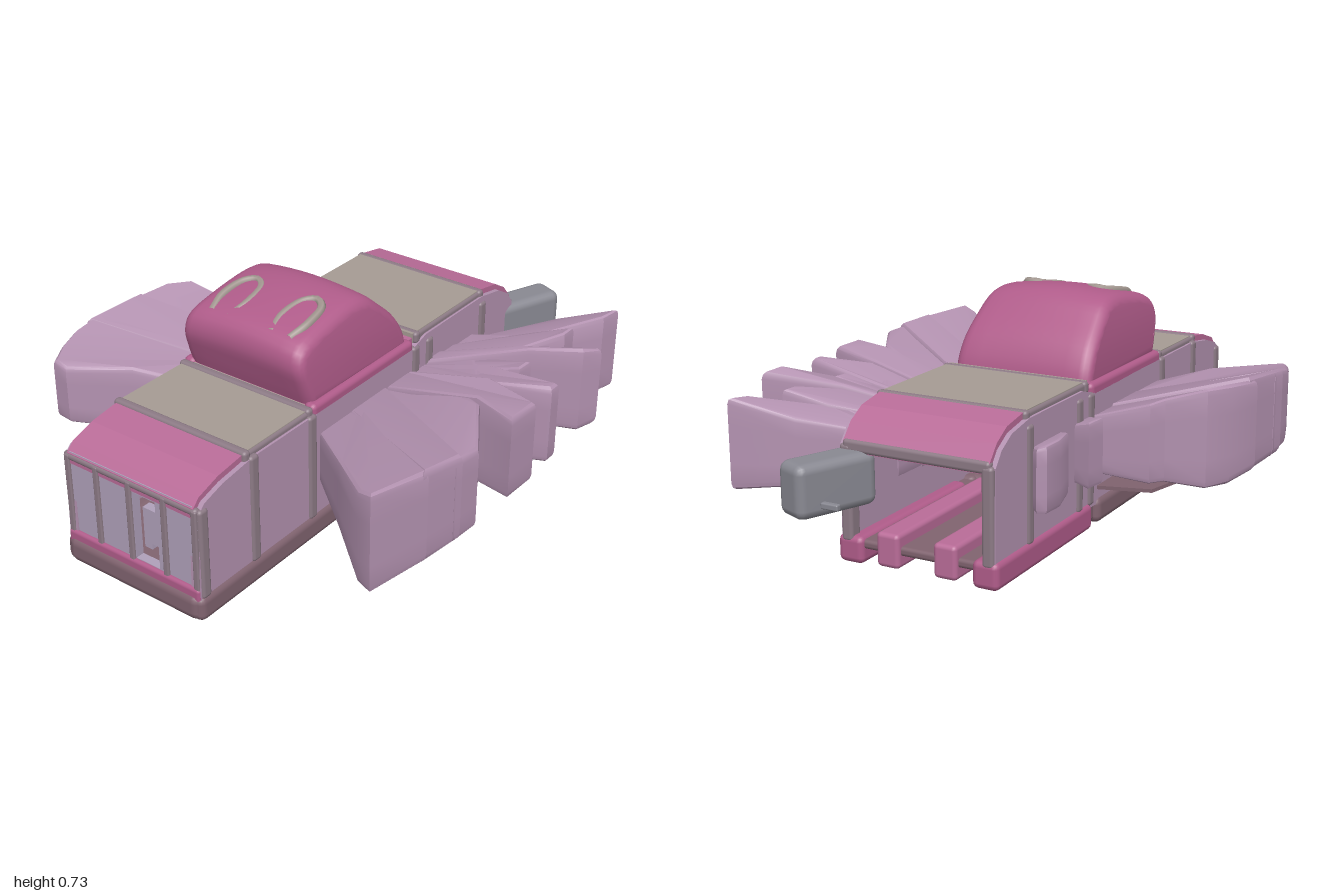
import * as THREE from 'three';
import { RoundedBoxGeometry } from 'three/addons/geometries/RoundedBoxGeometry.js';
import { toCreasedNormals } from 'three/addons/utils/BufferGeometryUtils.js';

const mat = (color) => new THREE.MeshStandardMaterial({ color, side: THREE.DoubleSide });
const M = {
  pink: mat(0xb96c98), rose: mat(0xb05c8a), lilac: mat(0xb392b0), pale: mat(0xb0a0ba),
  taupe: mat(0xa69b94), trim: mat(0x8c7a85), grey: mat(0x898992), dark: mat(0x80636f),
};
const CX = -0.03; // hull centre line

const vectors = (pts) => pts.map(([a, b]) => new THREE.Vector2(a, b));
const shapeOf = (pts) => new THREE.Shape(vectors(pts));

export function createModel() {
  const model = new THREE.Group();

  function add(name, geo, material, x = 0, y = 0, z = 0) {
    const mesh = new THREE.Mesh(geo, material);
    mesh.name = name;
    mesh.position.set(x, y, z);
    model.add(mesh);
    return mesh;
  }
  // Box given by its limits on each axis
  function box(name, x0, x1, y0, y1, z0, z1, material, r = 0.012) {
    return add(name, new RoundedBoxGeometry(x1 - x0, y1 - y0, z1 - z0, 2, r), material,
      (x0 + x1) / 2, (y0 + y1) / 2, (z0 + z1) / 2);
  }
  // Side profile in (z, y), extruded from x0 to x1
  function side(name, pts, x0, x1, material) {
    const g = new THREE.ExtrudeGeometry(shapeOf(pts), { depth: x1 - x0, bevelEnabled: false });
    g.rotateY(-Math.PI / 2);
    return add(name, g, material, x1);
  }

  // Hull: side walls and roof slabs, open at the rear
  const wall = [[0.955, 0.08], [0.945, 0.39], [0.92, 0.415], [0.84, 0.44], [0.7, 0.46], [-0.12, 0.46], [-0.2, 0.485],
    [-0.55, 0.485], [-0.66, 0.465], [-0.72, 0.43], [-0.755, 0.385], [-0.76, 0.08]];
  side('rightWall', wall, -0.298, -0.262, M.lilac);
  side('leftWall', wall, 0.202, 0.238, M.lilac);
  const roof = (name, pts, material) => side(name,
    [...pts, ...pts.map(([z, y]) => [z, y - 0.035]).reverse()], -0.282, 0.222, material);
  roof('noseSlope', [[0.952, 0.405], [0.925, 0.432], [0.84, 0.46], [0.72, 0.477]], M.pink);
  roof('frontDeck', [[0.72, 0.48], [0.4, 0.48]], M.taupe);
  roof('middleDeck', [[0.4, 0.48], [-0.14, 0.49]], M.pink);
  roof('rearDeck', [[-0.14, 0.505], [-0.56, 0.505]], M.taupe);
  roof('tailSlope', [[-0.56, 0.503], [-0.66, 0.485], [-0.72, 0.45], [-0.762, 0.4]], M.pink);
  for (const [z, y] of [[0.72, 0.473], [0.42, 0.475], [-0.16, 0.495], [-0.55, 0.495]])
    box('deckSeam', -0.295, 0.235, y - 0.03, y + 0.012, z - 0.015, z + 0.015, M.trim);
  for (const x of [-0.29, 0.2]) {
    box('deckEdge', x, x + 0.03, 0.445, 0.478, 0.41, 0.72, M.trim);
    box('cabSill', x - 0.008, x + 0.038, 0.43, 0.492, -0.13, 0.41, M.rose, 0.018);
    box('deckEdge', x, x + 0.03, 0.465, 0.503, -0.56, -0.15, M.trim);
  }

  // Front wall with a stepped see-through slot
  const front = shapeOf([[-0.295, 0.06], [0.235, 0.06], [0.235, 0.39], [0.215, 0.41], [-0.275, 0.41], [-0.295, 0.39]]);
  front.holes.push(new THREE.Path(vectors([[-0.02, 0.13], [0.075, 0.13], [0.075, 0.21], [0.05, 0.21], [0.05, 0.19],
    [0.02, 0.19], [0.02, 0.33], [0.07, 0.33], [0.07, 0.365], [-0.02, 0.365]])));
  add('frontWall', new THREE.ExtrudeGeometry(front, { depth: 0.03, bevelEnabled: false }), M.pale, 0, 0, 0.92);
  for (const x of [-0.283, -0.165, -0.033, 0.105, 0.224])
    box('frontRib', x - 0.011, x + 0.011, 0.06, 0.4, 0.935, 0.958, M.trim, 0.006);
  box('frontTopTrim', -0.295, 0.235, 0.38, 0.405, 0.93, 0.957, M.trim);
  box('frontLowerBand', -0.298, 0.238, 0.07, 0.128, 0.92, 0.962, M.rose);
  box('frontBumper', -0.3, 0.24, 0.012, 0.105, 0.9, 0.972, M.dark, 0.03);

  // Rear frame around the opening
  box('rearHeader', -0.285, 0.225, 0.365, 0.405, -0.768, -0.735, M.trim);
  for (const x of [-0.295, 0.195])
    box('rearPillar', x, x + 0.04, 0.08, 0.39, -0.77, -0.72, M.trim);

  // Vertical posts along both sides
  for (const [x0, x1] of [[-0.306, -0.27], [0.21, 0.246]])
    for (const z of [0.93, 0.7, 0.42, -0.14, -0.22, -0.55])
      box('sidePost', x0, x1, 0.09, z > 0.9 ? 0.4 : 0.465, z - 0.02, z + 0.02, M.trim);

  // Underside: channelled floors, sills, centre plate and the rails seen in the open rear
  box('centreFloor', -0.29, 0.23, 0.025, 0.09, -0.15, 0.4, M.dark);
  box('frontFloor', -0.29, 0.23, 0.045, 0.09, 0.38, 0.94, M.dark);
  box('rearFloor', -0.28, 0.22, 0.06, 0.09, -0.755, -0.1, M.dark);
  for (const [x0, x1] of [[-0.31, -0.22], [0.16, 0.25]]) {
    box('frontSill', x0, x1, 0.012, 0.1, -0.1, 0.965, M.dark, 0.025);
    box('rearSill', x0, x1, 0.012, 0.1, -0.77, -0.14, M.rose, 0.02);
  }
  box('frontKeel', -0.13, 0.07, 0.015, 0.06, 0.35, 0.94, M.trim, 0.015);
  for (const x of [-0.13, 0.07])
    box('floorRail', x - 0.04, x + 0.04, 0.02, 0.13, -0.77, -0.15, M.pink, 0.015);
  box('centrePlate', -0.31, 0.31, 0.035, 0.1, -0.08, 0.3, M.dark, 0.025);

  // Cab: rounded profile narrowing toward the top, crowned along the middle
  const cabCurve = new THREE.SplineCurve(vectors([[-0.125, 0.47], [-0.11, 0.53], [-0.07, 0.6], [0, 0.67],
    [0.07, 0.725], [0.16, 0.738], [0.3, 0.718], [0.41, 0.685], [0.44, 0.62], [0.42, 0.54], [0.395, 0.47]]));
  const cabGeo = new THREE.ExtrudeGeometry(new THREE.Shape(cabCurve.getPoints(36)),
    { depth: 0.42, steps: 8, bevelEnabled: true, bevelSize: 0.03, bevelOffset: -0.03, bevelThickness: 0.04, bevelSegments: 4 });
  cabGeo.rotateY(-Math.PI / 2).translate(0.21, 0, 0);
  const cp = cabGeo.attributes.position;
  for (let i = 0; i < cp.count; i++) {
    const t = Math.max(0, (cp.getY(i) - 0.47) / 0.27);
    const across = cp.getX(i) / 0.25;
    cp.setX(i, cp.getX(i) * (1 - 0.11 * t * t));
    cp.setY(i, cp.getY(i) + t * (0.006 - 0.022 * across * across));
  }
  add('cab', toCreasedNormals(cabGeo, 0.7), M.rose, CX);

  // Horseshoe ridges on the cab roof
  for (const x of [-0.145, 0.095]) {
    const pts = [[-0.035, 0.39, 0.684], [-0.05, 0.32, 0.708], [-0.035, 0.23, 0.725], [0, 0.205, 0.73],
      [0.035, 0.23, 0.725], [0.05, 0.32, 0.708], [0.035, 0.39, 0.684]];
    const path = new THREE.CatmullRomCurve3(pts.map(([a, z, y]) => new THREE.Vector3(x + a, y, z)));
    add('roofHorseshoe', new THREE.TubeGeometry(path, 28, 0.014, 6), M.taupe);
  }

  // Blade: outline in (x, z), growing taller away from the hull; frontTaper thins its forward corner
  function blade(name, pts, top = 0, bottom = 0, frontTaper = 0) {
    const g = new THREE.ExtrudeGeometry(shapeOf(pts), { depth: 0.86, steps: 4, bevelEnabled: true,
      bevelThickness: 0.07, bevelSize: 0.012, bevelOffset: -0.012, bevelSegments: 2 });
    g.rotateX(Math.PI / 2).translate(0, 0.93, 0);
    const p = g.attributes.position;
    for (let i = 0; i < p.count; i++) {
      const d = Math.abs(p.getX(i));
      const t = THREE.MathUtils.clamp((d - 0.25) / 0.42, 0, 1);
      const tip = Math.max(0, d - 0.68) * 0.4;
      const thin = 0.33 * frontTaper * t * Math.max(0, (p.getZ(i) - 0.3) / 0.32) ** 2 / 2;
      const lo = 0.2 - 0.035 * t + tip + bottom + thin, hi = 0.375 + 0.13 * t - tip + top - thin;
      p.setY(i, lo + (hi - lo) * p.getY(i));
    }
    add(name, toCreasedNormals(g, 0.5), M.lilac);
  }
  // Left fan: a broad front blade in strips, a hub web, then splayed spikes
  blade('leftFrontBlade', [[0.2, 0.1], [0.72, 0.5], [0.67, 0.715], [0.61, 0.695], [0.42, 0.53], [0.2, 0.35]]);
  blade('leftFrontBlade', [[0.2, 0], [0.745, 0.36], [0.715, 0.52], [0.2, 0.2]], 0.004);
  blade('leftFrontBlade', [[0.2, -0.1], [0.5, -0.02], [0.62, 0.07], [0.75, 0.28], [0.74, 0.39], [0.2, 0.1]], -0.008);
  blade('leftFanWeb', [[0.2, -0.5], [0.32, -0.5], [0.44, -0.49], [0.44, -0.4], [0.38, -0.31], [0.44, -0.23],
    [0.52, -0.1], [0.54, 0.04], [0.2, 0.1]], -0.02, 0.02);
  const spikes = [
    [[0.2, -0.12], [0.55, -0.11], [0.755, -0.04], [0.75, 0.095], [0.59, 0.045], [0.2, 0.02]],
    [[0.2, -0.2], [0.46, -0.24], [0.745, -0.2], [0.745, -0.155], [0.55, -0.09], [0.2, -0.08]],
    [[0.2, -0.25], [0.41, -0.32], [0.585, -0.3], [0.58, -0.235], [0.46, -0.22], [0.2, -0.15]],
    [[0.2, -0.28], [0.49, -0.38], [0.75, -0.47], [0.72, -0.4], [0.55, -0.34], [0.4, -0.29], [0.2, -0.18]],
    [[0.2, -0.36], [0.45, -0.52], [0.59, -0.57], [0.59, -0.51], [0.5, -0.38], [0.2, -0.22]],
    [[0.2, -0.5], [0.28, -0.53], [0.46, -0.68], [0.655, -0.765], [0.64, -0.69], [0.46, -0.5], [0.2, -0.28]],
  ];
  spikes.forEach((s, i) => blade('leftSpike', s, -0.012 * (i % 3), 0.008 * (i % 2)));
  // Right fan: one broad rounded blade in strips, with small stubs behind
  blade('rightBlade', [[-0.25, 0.36], [-0.25, 0.15], [-0.74, 0.34], [-0.742, 0.46], [-0.715, 0.55], [-0.68, 0.62],
    [-0.62, 0.625], [-0.45, 0.49]], 0, 0, 0.4);
  blade('rightBlade', [[-0.25, 0.2], [-0.25, 0], [-0.72, 0.16], [-0.745, 0.4]], 0.004, 0, 0.4);
  blade('rightBlade', [[-0.25, 0.05], [-0.25, -0.13], [-0.49, -0.11], [-0.52, -0.06], [-0.65, -0.03], [-0.7, 0.05],
    [-0.73, 0.2]], -0.004);
  blade('rightStub', [[-0.26, -0.31], [-0.33, -0.36], [-0.36, -0.47], [-0.355, -0.55], [-0.33, -0.57], [-0.26, -0.5]]);
  blade('rightStub', [[-0.26, -0.13], [-0.31, -0.15], [-0.37, -0.2], [-0.36, -0.28], [-0.31, -0.26], [-0.26, -0.24]]);

  // Thin skirts under the fans
  const skirt = (name, pts, y, tilt) => {
    const g = new THREE.ExtrudeGeometry(shapeOf(pts), { depth: 0.012, bevelEnabled: false });
    add(name, g.rotateX(Math.PI / 2), M.dark, 0, y).rotation.z = tilt;
  };
  skirt('leftSkirt', [[0.22, -0.2], [0.55, -0.1], [0.64, 0.2], [0.6, 0.45], [0.22, 0.28]], 0.175, -0.08);
  skirt('rightSkirt', [[-0.24, 0.3], [-0.24, -0.1], [-0.48, -0.06], [-0.55, 0.2], [-0.5, 0.42]], 0.13, -0.04);

  // Slanted tail block at the rear left
  const tail = box('tailBlock', 0.165, 0.285, 0.205, 0.375, -0.98, -0.7, M.grey, 0.03);
  tail.rotation.y = -0.38;
  box('tailFlake', 0.11, 0.17, 0.25, 0.27, -0.96, -0.94, M.grey, 0.005);

  return model;
}
